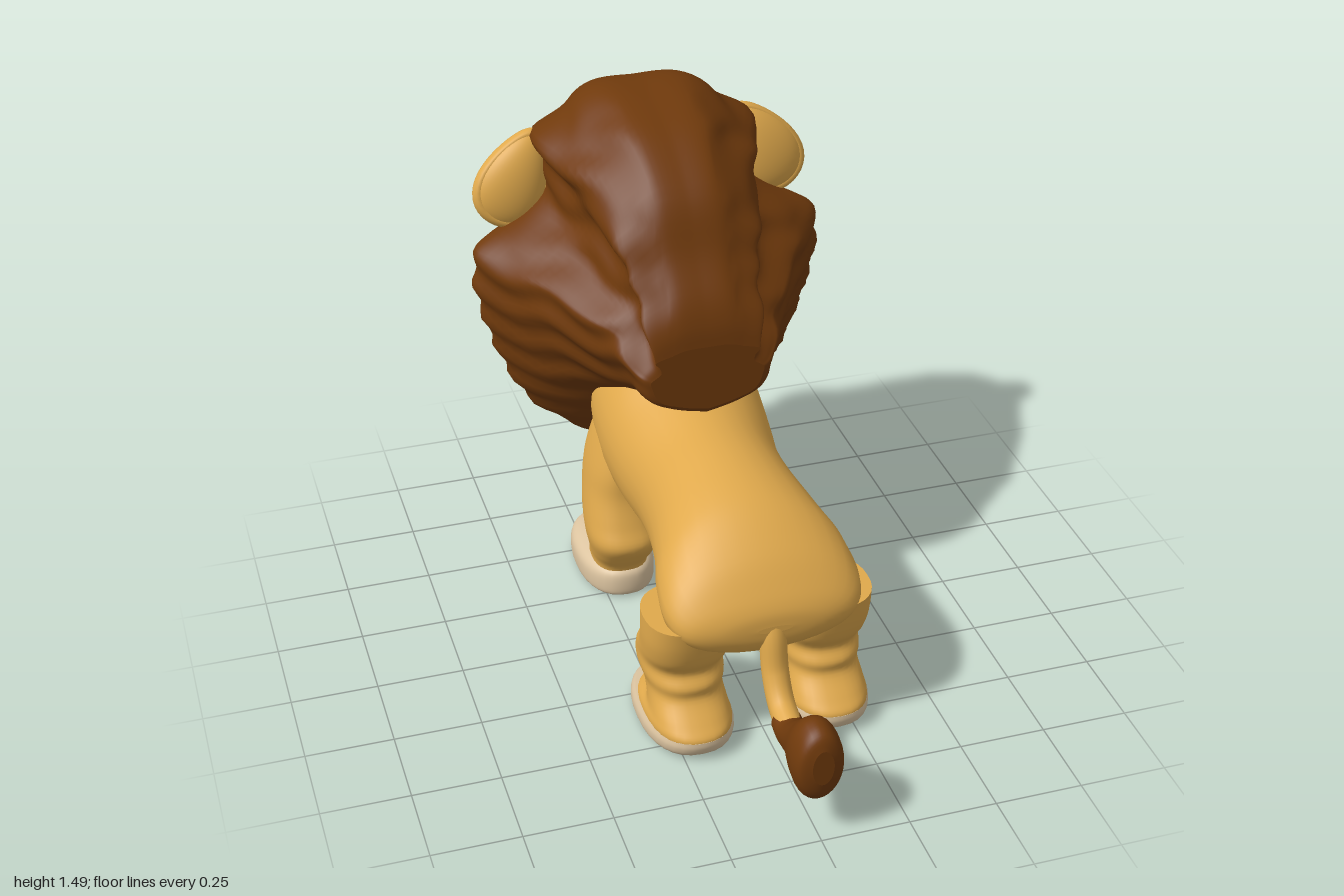
import * as THREE from 'three';

const mat = (name, color) => Object.assign(new THREE.MeshStandardMaterial({ color }), { name });

// Catmull-Rom interpolation through rows of numbers
function smooth(rows, steps) {
  const out = [];
  const at = i => rows[Math.max(0, Math.min(rows.length - 1, i))];
  for (let i = 0; i < rows.length - 1; i++) {
    for (let s = 0; s < steps; s++) {
      const t = s / steps;
      out.push(rows[i].map((p1, k) => {
        const p0 = at(i - 1)[k], p2 = at(i + 1)[k], p3 = at(i + 2)[k];
        return 0.5 * (2 * p1 + (p2 - p0) * t + (2 * p0 - 5 * p1 + 4 * p2 - p3) * t * t
          + (3 * p1 - p0 - 3 * p2 + p3) * t * t * t);
      }));
    }
  }
  out.push(rows[rows.length - 1]);
  return out;
}

// Closed skin through rings of points, with end caps
function loft(rings) {
  const n = rings[0].length, pos = rings.flat(2), idx = [];
  for (let i = 0; i < rings.length - 1; i++) {
    for (let j = 0; j < n; j++) {
      const a = i * n + j, b = i * n + (j + 1) % n;
      idx.push(a, b, b + n, a, b + n, a + n);
    }
  }
  for (const [ring, first] of [[rings[0], true], [rings[rings.length - 1], false]]) {
    const base = pos.length / 3;
    const mid = [0, 1, 2].map(k => ring.reduce((s, p) => s + p[k], 0) / n);
    pos.push(...ring.flat(), ...mid);
    for (let j = 0; j < n; j++) {
      const a = base + j, b = base + (j + 1) % n;
      idx.push(...(first ? [b, a, base + n] : [a, b, base + n]));
    }
  }
  const g = new THREE.BufferGeometry();
  g.setAttribute('position', new THREE.Float32BufferAttribute(pos, 3));
  g.setIndex(idx);
  g.computeVertexNormals();
  return g;
}

// Move every vertex by a rule
function reshape(g, rule) {
  const p = g.attributes.position;
  for (let i = 0; i < p.count; i++) p.setXYZ(i, ...rule(p.getX(i), p.getY(i), p.getZ(i)));
  g.computeVertexNormals();
  return g;
}

const angles = Array.from({ length: 32 }, (_, i) => i / 32 * Math.PI * 2);
// rows along z: [z, top, bottom, halfWidth]
const alongZ = rows => loft(smooth(rows, 5).map(([z, t, b, w]) =>
  angles.map(a => [w * Math.cos(a), (t + b) / 2 + (t - b) / 2 * Math.sin(a), z])));
// rows along y: [y, back, front, halfWidth], slightly squared
const pw = v => Math.sign(v) * Math.abs(v) ** 0.85;
const alongY = (rows, x) => loft(smooth(rows, 5).map(([y, b, f, w]) =>
  angles.map(a => [x + w * pw(Math.cos(a)), y, (b + f) / 2 - (b - f) / 2 * pw(Math.sin(a))])));

// Squared ellipsoid with centre c and radii r
const P = 2.5;
const squircle = e => reshape(new THREE.SphereGeometry(1, 48, 36), (x, y, z) => {
  const k = (Math.abs(x) ** P + Math.abs(y) ** P + Math.abs(z) ** P) ** (-1 / P);
  return [x, y, z].map((v, i) => e.c[i] + v * k * e.r[i]);
});
// Thin oval laid on its front (-z)
const patch = (e, cx, cy, rx, ry, lift, tilt = 0) =>
  reshape(new THREE.RingGeometry(0, 1, 32, 6), (px, py) => {
    const u = -px * rx, v = py * ry;
    const x = cx + u * Math.cos(tilt) - v * Math.sin(tilt);
    const y = cy + u * Math.sin(tilt) + v * Math.cos(tilt);
    const q = 1 - Math.abs(x / e.r[0]) ** P - Math.abs((y - e.c[1]) / e.r[1]) ** P;
    return [x, y, e.c[2] - e.r[2] * Math.max(q, 0) ** (1 / P) - lift];
  });

function maneGeometry() {
  // [z, top, bottom, upper half width, lower half width, shoulder height]
  const rows = [
    [-0.78, 1.36, 0.42, 0.23, 0.34, 1.03], [-0.75, 1.42, 0.36, 0.27, 0.39, 1.04],
    [-0.69, 1.47, 0.3, 0.31, 0.475, 1.055], [-0.62, 1.49, 0.27, 0.325, 0.525, 1.06],
    [-0.5, 1.475, 0.40, 0.29, 0.455, 1.05], [-0.35, 1.43, 0.57, 0.25, 0.37, 1.03],
    [-0.2, 1.325, 0.67, 0.21, 0.285, 1.0], [-0.12, 1.18, 0.71, 0.18, 0.24, 0.97],
    [-0.05, 1.08, 0.73, 0.17, 0.21, 0.9], [-0.02, 1.01, 0.735, 0.165, 0.19, 0.88],
    [-0.01, 0.95, 0.75, 0.15, 0.17, 0.87]];
  const fringe = y => -0.08 * THREE.MathUtils.smoothstep(y, 0.98, 1.2);
  const rings = smooth(rows, 5).map(([z, T, B, U, L, S]) => {
    const k = T - S, b = S - B;
    const half = smooth([[0, T], [0.4 * U, T - 0.01 * k], [0.7 * U, T - 0.16 * k], [U, T - 0.34 * k],
      [0.9 * U, T - 0.58 * k], [0.3 * L + 0.55 * U, T - 0.82 * k], [0.92 * L, S], [L, S - 0.08 * b],
      [L, S - 0.22 * b], [0.91 * L, S - 0.45 * b], [0.73 * L, S - 0.7 * b],
      [0.4 * L, S - 0.88 * b], [0, B]], 6);
    const front = THREE.MathUtils.smoothstep(-z, 0.55, 0.78);
    // wavy locks on the sides
    const pts = half.map(([x, y]) => {
      const wave = Math.sin(y * 58 + 1.2 * Math.sin(z * 22)) * 0.009 * Math.min(1, x / 0.25);
      return [Math.max(0, x + (x > 0.1 ? wave : 0)), y, z + front * fringe(y)];
    });
    // counter-clockwise: up the right side, down the left
    return [...pts.slice().reverse(), ...pts.slice(1, -1).map(([x, y, zz]) => [-x, y, zz])];
  });
  // inner rim around the face, then a recess behind it
  const rim = (r, z, s) => rings[0].map((_, i) => {
    const a = -Math.PI / 2 + i / rings[0].length * Math.PI * 2;
    const y = 0.88 + r * 0.94 * Math.sin(a);
    return [r * Math.cos(a), y, z + s * fringe(y)];
  });
  return loft([rim(0.22, -0.68, 0), rim(0.285, -0.785, 1.05), ...rings]);
}

export function createModel() {
  const lion = new THREE.Group();
  lion.name = 'lion';
  const fur = mat('tan fur', 0xe0a94c), hair = mat('brown mane', 0x703a0c);
  const pale = mat('pale paws and muzzle', 0xdcc4a0), inner = mat('inner ear', 0x94644a);
  const white = mat('eye white', 0xeee0c8), iris = mat('iris', 0x5c2c0e), black = mat('black', 0x15100c);
  inner.side = THREE.DoubleSide;
  const add = (name, geo, m, parent = lion) => {
    const mesh = new THREE.Mesh(geo, m);
    mesh.name = name;
    parent.add(mesh);
    return mesh;
  };
  const ball = (name, c, r, m) => {
    const mesh = add(name, new THREE.SphereGeometry(1, 40, 28), m);
    mesh.position.set(...c);
    mesh.scale.set(...r);
  };

  // Body and mane
  add('body', alongZ([[-0.55, 0.74, 0.42, 0.15], [-0.45, 0.8, 0.34, 0.23], [-0.3, 0.8, 0.28, 0.25],
    [-0.15, 0.75, 0.27, 0.24], [0, 0.72, 0.27, 0.22], [0.15, 0.71, 0.27, 0.225], [0.3, 0.69, 0.28, 0.25],
    [0.4, 0.655, 0.28, 0.275], [0.5, 0.585, 0.29, 0.28], [0.565, 0.51, 0.32, 0.245],
    [0.595, 0.46, 0.36, 0.16], [0.602, 0.42, 0.4, 0.05]]), fur);
  add('mane', maneGeometry(), hair);

  // Head
  const head = { c: [0, 0.89, -0.69], r: [0.3, 0.28, 0.26] };
  const muzzle = { c: [0, 0.775, -0.74], r: [0.245, 0.16, 0.225] };
  add('head', squircle(head), fur);
  add('muzzle', squircle(muzzle), pale);
  ball('nose', [0, 0.887, -0.95], [0.105, 0.04, 0.043], hair);
  ball('beard', [0, 0.655, -0.81], [0.23, 0.125, 0.06], hair);
  add('mouth', patch(muzzle, 0, 0.775, 0.09, 0.013, 0.004), black);
  add('lowerLip', patch(muzzle, 0, 0.732, 0.035, 0.016, 0.004), fur);

  // Forehead locks
  for (let i = -4; i <= 4; i++) {
    const lock = add('forelock', new THREE.ConeGeometry(0.04, 0.15, 12), hair);
    lock.position.set(i * 0.055, 1.165 - 0.009 * Math.abs(i) + (i % 2 ? 0.025 : 0), -0.855 + 0.008 * Math.abs(i));
    lock.rotation.set(-0.12, 0, Math.PI + i * 0.07);
    lock.scale.z = 0.5;
  }

  for (const s of [-1, 1]) {
    const side = s > 0 ? 'left' : 'right';
    // Eyes
    const x = 0.145 * s;
    add(side + 'EyeOutline', patch(head, x, 1.0, 0.058, 0.068, 0.003), black);
    add(side + 'EyeWhite', patch(head, x, 0.996, 0.051, 0.06, 0.005), white);
    add(side + 'Iris', patch(head, x * 0.94, 0.996, 0.034, 0.041, 0.007), iris);
    add(side + 'Pupil', patch(head, x * 0.94, 0.996, 0.02, 0.025, 0.009), black);
    add(side + 'Brow', patch(head, x * 1.05, 1.092, 0.045, 0.012, 0.006, -0.2 * s), hair);

    // Cupped ears, narrower at the top
    const ear = new THREE.Group();
    ear.name = side + 'Ear';
    ear.position.set(0.378 * s, 1.215, -0.69);
    ear.rotation.set(-0.2, 0, 0.5 * s);
    lion.add(ear);
    const taper = g => reshape(g, (u, v, w) => [u * (1 - 0.3 * v), v, w]);
    const cup = () => taper(new THREE.SphereGeometry(1, 24, 24, 0, Math.PI));
    add('earBack', cup(), fur, ear).scale.set(0.1, 0.148, 0.055);
    add('earInner', cup(), inner, ear).scale.set(0.092, 0.138, 0.04);
    add('earRim', taper(new THREE.TorusGeometry(1, 0.15, 12, 40)), fur, ear).scale.set(0.09, 0.135, 0.16);

    // Front legs
    add(side + 'FrontLeg', alongY([[0.05, -0.23, -0.45, 0.085], [0.1, -0.22, -0.43, 0.085],
      [0.15, -0.18, -0.4, 0.095], [0.21, -0.145, -0.4, 0.108], [0.27, -0.17, -0.43, 0.108],
      [0.35, -0.2, -0.46, 0.098], [0.43, -0.21, -0.47, 0.085], [0.52, -0.24, -0.45, 0.06],
      [0.6, -0.28, -0.4, 0.03]], 0.19 * s), fur);
    add(side + 'FrontPaw', alongY([[0, -0.225, -0.59, 0.105], [0.015, -0.21, -0.6, 0.115],
      [0.06, -0.21, -0.6, 0.115], [0.085, -0.22, -0.58, 0.1], [0.1, -0.25, -0.52, 0.07]], 0.19 * s), pale);

    // Hind legs
    add(side + 'HindLeg', alongY([[0.04, 0.595, 0.18, 0.12], [0.07, 0.6, 0.23, 0.12], [0.1, 0.57, 0.31, 0.11],
      [0.15, 0.52, 0.27, 0.105], [0.19, 0.52, 0.21, 0.115], [0.23, 0.5, 0.22, 0.115],
      [0.28, 0.53, 0.28, 0.12], [0.34, 0.55, 0.31, 0.125], [0.41, 0.565, 0.31, 0.125]], 0.2 * s), fur);
    add(side + 'HindPaw', alongY([[0, 0.56, 0.17, 0.12], [0.02, 0.59, 0.165, 0.13],
      [0.045, 0.602, 0.168, 0.13], [0.065, 0.602, 0.19, 0.122]], 0.2 * s), pale);
  }

  // Tail with tuft
  const path = new THREE.CatmullRomCurve3([[0.47, 0.53], [0.38, 0.575], [0.27, 0.605], [0.2, 0.66], [0.172, 0.74]]
    .map(([y, z]) => new THREE.Vector3(0, y, z)));
  add('tail', new THREE.TubeGeometry(path, 32, 0.038, 16), fur);
  add('tailTuft', alongZ([[0.7, 0.215, 0.135, 0.042], [0.75, 0.215, 0.13, 0.045], [0.83, 0.28, 0.135, 0.052],
    [0.9, 0.345, 0.12, 0.068], [0.95, 0.352, 0.11, 0.07], [0.985, 0.335, 0.14, 0.06], [1, 0.3, 0.19, 0.03]]), hair);
  return lion;
}
